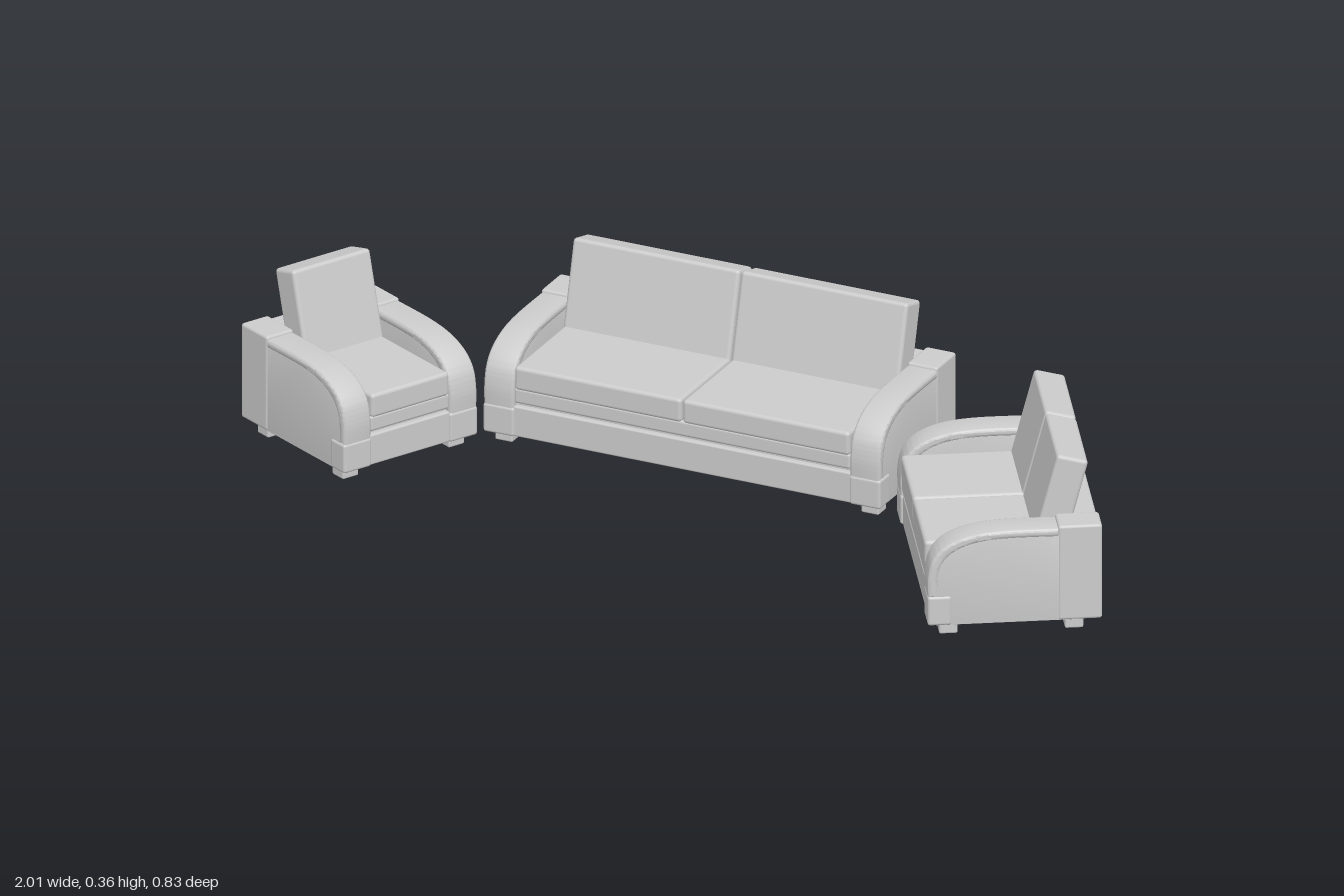
import * as THREE from 'three';
import { RoundedBoxGeometry } from 'three/addons/geometries/RoundedBoxGeometry.js';
import { toCreasedNormals } from 'three/addons/utils/BufferGeometryUtils.js';

const grey = new THREE.MeshStandardMaterial({ color: 0xcccccc });
const ARM = 0.068; // arm width

function add(parent, name, geometry, x = 0, y = 0, z = 0) {
  const mesh = new THREE.Mesh(geometry, grey);
  mesh.name = name;
  mesh.position.set(x, y, z);
  parent.add(mesh);
  return mesh;
}

// Rounded box given by its limits in y and z, and its centre and width in x
function pad(parent, name, x, width, y0, y1, z0, z1, radius = 0.006) {
  const geometry = new RoundedBoxGeometry(width, y1 - y0, z1 - z0, 3, radius);
  return add(parent, name, geometry, x, (y0 + y1) / 2, (z0 + z1) / 2);
}

const points = list => list.map(([z, y]) => new THREE.Vector2(z, y));

// Extrude a side profile (z, y) across the width, centred on x = 0
function sideExtrude(shape, width, bevel) {
  const geometry = new THREE.ExtrudeGeometry(shape, {
    depth: width - 2 * bevel, curveSegments: 16, bevelEnabled: true,
    bevelThickness: bevel, bevelSize: bevel, bevelOffset: -bevel, bevelSegments: 3
  });
  geometry.translate(0, 0, bevel - width / 2);
  geometry.rotateY(-Math.PI / 2);
  return toCreasedNormals(geometry, 0.6);
}

// Curves of the arm padding, from the front foot up and over to the rear
const outer = points([[0.178, 0.088], [0.178, 0.13], [0.168, 0.17], [0.14, 0.2], [0.09, 0.22], [0.02, 0.228], [-0.09, 0.228]]);
const inner = points([[0.158, 0.088], [0.158, 0.125], [0.15, 0.157], [0.128, 0.183], [0.085, 0.202], [0.02, 0.21], [-0.09, 0.21]]);

function armBand() {
  const shape = new THREE.Shape();
  shape.moveTo(outer[0].x, outer[0].y);
  shape.splineThru(outer.slice(1));
  shape.lineTo(-0.09, 0.21);
  shape.splineThru(inner.slice(0, -1).reverse());
  shape.closePath();
  return sideExtrude(shape, ARM, 0.006);
}

function armCore() {
  const shape = new THREE.Shape();
  shape.moveTo(-0.12, 0.025);
  shape.lineTo(0.162, 0.025);
  shape.lineTo(0.162, 0.088);
  shape.splineThru(inner.map(p => new THREE.Vector2(p.x + 0.004, p.y + 0.003)));
  shape.lineTo(-0.12, 0.213);
  shape.closePath();
  return sideExtrude(shape, ARM - 0.004, 0.001);
}

function makeSeat(name, width, cushions) {
  const seat = new THREE.Group();
  seat.name = name;
  const inside = width - 2 * ARM;

  // Frame
  pad(seat, 'base', 0, inside + 0.01, 0.025, 0.092, -0.15, 0.174, 0.004);
  pad(seat, 'platform', 0, inside, 0.085, 0.104, -0.15, 0.162, 0.003);
  pad(seat, 'seatDeck', 0, inside, 0.1, 0.134, -0.15, 0.176);
  pad(seat, 'backPanel', 0, inside + 0.01, 0.025, 0.228, -0.174, -0.1);

  // Seat and back cushions
  const step = inside / cushions;
  for (let i = 0; i < cushions; i++) {
    const x = (i - (cushions - 1) / 2) * step;
    pad(seat, 'seatCushion', x, step - 0.003, 0.13, 0.182, -0.08, 0.178, 0.008);
    const back = add(seat, 'backCushion',
      new RoundedBoxGeometry(step - 0.003, 0.22, 0.066, 3, 0.008), x, 0.246, -0.098);
    back.rotation.x = -0.258;
  }

  // Arms with their feet
  for (const side of [1, -1]) {
    const arm = new THREE.Group();
    arm.name = side > 0 ? 'leftArm' : 'rightArm';
    arm.position.x = side * (width - ARM) / 2;
    seat.add(arm);
    add(arm, 'armPanel', armCore());
    add(arm, 'armPadding', armBand());
    pad(arm, 'armRearBlock', 0, ARM, 0.025, 0.234, -0.178, -0.088);
    pad(arm, 'armFrontBlock', 0, ARM + 0.002, 0.025, 0.089, 0.13, 0.179);
    for (const z of [0.135, -0.122]) {
      pad(arm, 'foot', 0, 0.04, 0, 0.03, z - 0.019, z + 0.019, 0.004);
    }
  }
  return seat;
}

export function createModel() {
  const model = new THREE.Group();
  model.name = 'loungeSuite';
  const layout = [
    ['sofa', 0.896, 2, -0.093, -0.24, 0],
    ['loveseat', 0.577, 2, 0.694, 0.076, -57.7],
    ['armchair', 0.335, 1, -0.78, 0.024, 62.3]
  ];
  for (const [name, width, cushions, x, z, degrees] of layout) {
    const seat = makeSeat(name, width, cushions);
    seat.position.set(x, 0, z);
    seat.rotation.y = THREE.MathUtils.degToRad(degrees);
    model.add(seat);
  }
  return model;
}
